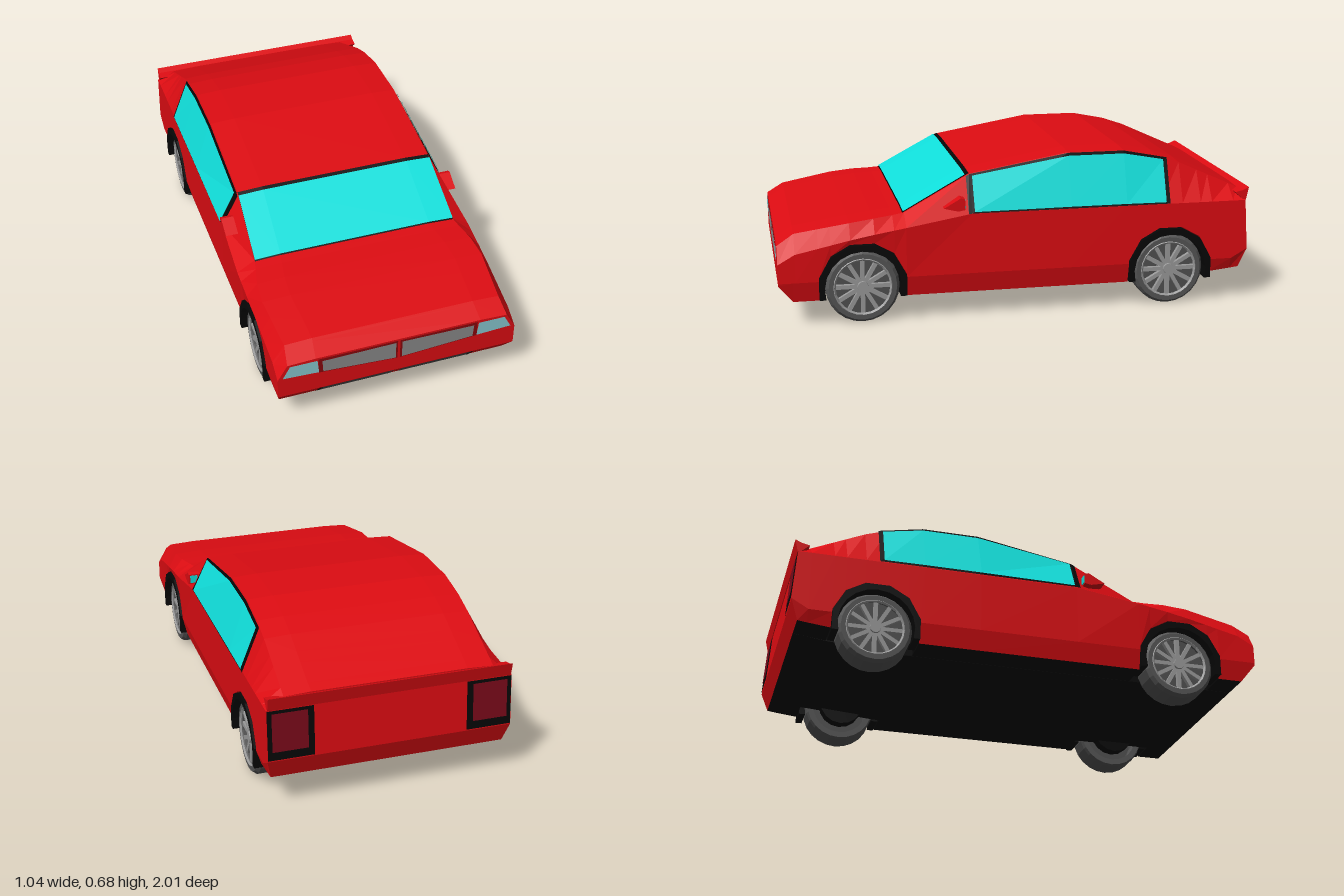
import * as THREE from 'three';

const mat = (color) => new THREE.MeshStandardMaterial({ color, flatShading: true });
const red = mat(0xdd0c12), black = mat(0x070707), glass = mat(0x10e0dc), tyre = mat(0x555555);
const rim = mat(0x999999), grey = mat(0x8a8a8a), darkGrey = mat(0x505050), lamp = mat(0x88c8d0), tailRed = mat(0x7a0a1a);

const AXLES = [0.655, -0.655], WHEEL_Y = 0.153;
// Arch outline: offset from the axle, height
const ARCH = [[0.18, 0.105], [0.18, 0.2], [0.13, 0.29], [0.05, 0.335], [-0.05, 0.335], [-0.13, 0.29], [-0.18, 0.2], [-0.18, 0.105]];
// Upper body: z, belt half width, belt height, top edge half width, top edge height
const UPPER = [
  [1, 0.505, 0.27, 0.465, 0.34], [0.93, 0.505, 0.31, 0.455, 0.385], [0.66, 0.512, 0.37, 0.48, 0.431],
  [0.48, 0.515, 0.4, 0.44, 0.445], [0.2, 0.505, 0.445, 0.43, 0.597], [-0.22, 0.505, 0.445, 0.43, 0.67],
  [-0.46, 0.505, 0.445, 0.43, 0.67], [-0.65, 0.505, 0.445, 0.43, 0.632], [-1, 0.505, 0.445, 0.43, 0.473],
];

function upperAt(z) {
  let i = 0;
  while (i < UPPER.length - 2 && z < UPPER[i + 1][0]) i++;
  const a = UPPER[i], b = UPPER[i + 1], t = (z - a[0]) / (b[0] - a[0]);
  return a.map((v, k) => v + (b[k] - v) * t);
}

// Half cross-section from sill to crown
function section(z, yb, xs = 0.485) {
  const [, bx, by, tx, ty] = upperAt(z);
  return [[xs, yb, z], [0.505, Math.max(yb + 0.005, 0.19), z], [bx, by, z], [tx, ty, z], [tx * 0.75, ty + 0.005, z]];
}

const flip = ([x, y, z]) => [-x, y, z];
const mix = (a, b, t) => a.map((v, i) => v + (b[i] - v) * t);
const shift = (p, x, y, z) => [p[0] + x, p[1] + y, p[2] + z];

// Skin over rows of points
function grid(rows) {
  const pos = [];
  for (let i = 0; i < rows.length - 1; i++) {
    for (let j = 0; j < rows[i].length - 1; j++) {
      const a = rows[i][j], b = rows[i][j + 1], c = rows[i + 1][j + 1], d = rows[i + 1][j];
      pos.push(...a, ...d, ...c, ...a, ...c, ...b);
    }
  }
  const g = new THREE.BufferGeometry();
  g.setAttribute('position', new THREE.Float32BufferAttribute(pos, 3));
  g.computeVertexNormals();
  return g;
}
const mirrorRows = (rows) => rows.map((r) => r.map(flip).reverse());

// Side outline (z, y) extruded across x
function sideExtrude(pts, x0, x1) {
  const g = new THREE.ExtrudeGeometry(new THREE.Shape(pts.map((p) => new THREE.Vector2(...p))), { depth: x1 - x0, bevelEnabled: false });
  return g.rotateY(-Math.PI / 2).translate(x1, 0, 0);
}

function makeWheel() {
  const wheel = new THREE.Group();
  const part = (name, g, m) => {
    const mesh = new THREE.Mesh(g, m);
    mesh.name = name;
    wheel.add(mesh);
  };
  const profile = [[0.122, -0.06], [0.147, -0.06], [0.153, -0.045], [0.153, 0.045], [0.141, 0.06], [0.122, 0.06], [0.122, -0.06]];
  part('tyre', new THREE.LatheGeometry(profile.map((p) => new THREE.Vector2(...p)), 24).rotateZ(-Math.PI / 2), tyre);
  part('rimDisc', new THREE.CylinderGeometry(0.123, 0.123, 0.012, 24).rotateZ(Math.PI / 2).translate(0.025, 0, 0), darkGrey);
  part('rimRing', new THREE.TorusGeometry(0.119, 0.007, 4, 24).rotateY(Math.PI / 2).translate(0.056, 0, 0), rim);
  part('hubCap', new THREE.CylinderGeometry(0.022, 0.028, 0.03, 12).rotateZ(-Math.PI / 2).translate(0.043, 0, 0), rim);
  part('brakeHub', new THREE.CylinderGeometry(0.094, 0.094, 0.05, 16).rotateZ(Math.PI / 2).translate(-0.075, 0, 0), black);
  for (let i = 0; i < 12; i++) {
    const spoke = new THREE.BoxGeometry(0.018, 0.1, 0.017).translate(0.042, 0.068, 0).rotateX((i * Math.PI) / 6);
    part('spoke', spoke, rim);
  }
  return wheel;
}

export function createModel() {
  const car = new THREE.Group();
  car.name = 'car';
  const add = (name, g, m) => {
    const mesh = new THREE.Mesh(g, m);
    mesh.name = name;
    car.add(mesh);
  };
  const pair = (name, rows, m) => {
    add(name + 'Left', grid(rows), m);
    add(name + 'Right', grid(mirrorRows(rows)), m);
  };

  // Body shell: half sections from nose to tail, with the arches cut in the lower edge
  const tail = [[0.485, 0.145, -0.97], [0.505, 0.23, -1], [0.505, 0.445, -0.985], [0.43, 0.487, -0.97], [0.32, 0.492, -0.97]];
  const arch = (z0, rearY) => ARCH.map(([dz, y], i) => section(z0 + dz, i === 7 ? rearY : y));
  const halves = [
    section(1, 0.18, 0.503), section(0.94, 0.105), section(0.93, 0.105), ...arch(AXLES[0], 0.105),
    section(0.2, 0.105), section(-0.22, 0.105), section(-0.46, 0.105), ...arch(AXLES[1], 0.13), section(-0.93, 0.14), tail,
  ];
  // Extra rows keep the roof and bonnet breaks sharp
  add('bodyShell', grid(halves.map((h) => [...h, ...h.map(flip).reverse()])), red);
  add('noseFace', grid(halves[0].map((p) => [p, flip(p)])), red);
  add('tailFace', grid(tail.map((p) => [flip(p), p])), red);
  const under = halves.map((h) => [flip(h[0]), h[0]]);
  add('bumperUnderside', grid(under.slice(0, 2)), red);
  add('archLiningAndFloor', grid(under.slice(1)), black);
  add('floorCore', sideExtrude([[0.935, 0.104], [-0.5, 0.104], [-0.83, 0.128], [-0.965, 0.144], [-0.965, 0.36], [0.935, 0.3]], -0.36, 0.36), black);

  // Rear spoiler lip
  add('spoilerLip', sideExtrude([[-0.94, 0.48], [-0.978, 0.445], [-0.988, 0.445], [-1, 0.5], [-0.975, 0.488]], -0.5, 0.5), red);

  // Windscreen on the strip between bonnet and roof
  const [low, high] = [0.48, 0.2].map((z) => section(z, 0.105).slice(3));
  const screen = (t0, t1, off) => grid([t0, t1].map((t) => {
    const half = low.map((p, i) => shift(mix(p, high[i], t), 0, off, off));
    return [...half, ...half.map(flip).reverse()];
  }));
  add('windscreenFrame', screen(0, 1, 0.002), black);
  add('windscreen', screen(0.02, 0.95, 0.005), glass);

  // Side windows between belt and roof edge
  const sideWindow = (zs, t0, t1, off) => zs.map((z) => {
    const [, , belt, top] = section(z, 0.105);
    return [t0, t1].map((t) => shift(mix(belt, top, t), off, off * 0.4, 0));
  });
  pair('windowFrame', sideWindow([0.215, 0.2, -0.22, -0.46, -0.65], 0, 0.985, 0.003), black);
  pair('sideWindow', sideWindow([0.19, -0.22, -0.46, -0.632], 0.03, 0.93, 0.007), glass);

  // Front panels: corners (x, y) as bottom inner, bottom outer, top outer, top inner
  const front = (name, corners, m, off = 0.003) => {
    const [a, b, c, d] = corners.map(([x, y]) => [x, y, 1 + off - Math.max(0, 0.18 - y) * 0.8]);
    pair(name, [[b, a], [c, d]], m);
  };
  front('grilleFrame', [[0.005, 0.246], [0.337, 0.267], [0.337, 0.338], [0.005, 0.338]], mat(0x8a060b), 0.0015);
  front('grille', [[0.013, 0.25], [0.318, 0.27], [0.322, 0.326], [0.013, 0.33]], grey);
  front('headlight', [[0.335, 0.27], [0.485, 0.278], [0.455, 0.334], [0.342, 0.334]], lamp);
  front('lowerIntake', [[0.016, 0.118], [0.318, 0.118], [0.318, 0.182], [0.016, 0.182]], darkGrey);
  front('intakeEdge', [[0.318, 0.118], [0.332, 0.108], [0.332, 0.182], [0.318, 0.182]], black);

  // Tail lights in black surrounds
  const rear = (x0, x1, y0, y1, off) => [y0, y1].map((y) => [x0, x1].map((x) => [x, y, -1 - off + (y - 0.23) * 0.07]));
  pair('tailLightFrame', rear(0.315, 0.503, 0.235, 0.442, 0.002), black);
  pair('tailLight', rear(0.34, 0.485, 0.27, 0.43, 0.005), tailRed);

  for (const s of [1, -1]) {
    const span = (a, b) => (s > 0 ? [a, b] : [-b, -a]);
    // Door mirror
    add('doorMirror', sideExtrude([[0.32, 0.475], [0.25, 0.515], [0.232, 0.51], [0.232, 0.465], [0.26, 0.46]], ...span(0.465, 0.518)), red);
    add('mirrorGlass', new THREE.BoxGeometry(0.032, 0.034, 0.004).translate(s * 0.496, 0.488, 0.231), glass);
    for (const z of AXLES) {
      // Black arch trim flaring out around the wheel
      const outline = ARCH.map(([dz, y]) => [z + dz, Math.max(y, 0.112)]);
      for (let i = 0; i <= 12; i++) {
        const a = Math.PI + 0.26 - (i * (Math.PI + 0.52)) / 12;
        outline.push([z + 0.158 * Math.cos(a), WHEEL_Y + 0.158 * Math.sin(a)]);
      }
      add('archTrim', sideExtrude(outline, ...span(0.4, 0.514)), black);
      const wheel = makeWheel();
      wheel.name = z > 0 ? 'frontWheel' : 'rearWheel';
      wheel.position.set(s * 0.431, WHEEL_Y, z);
      if (s < 0) wheel.rotation.y = Math.PI;
      car.add(wheel);
    }
  }
  return car;
}
